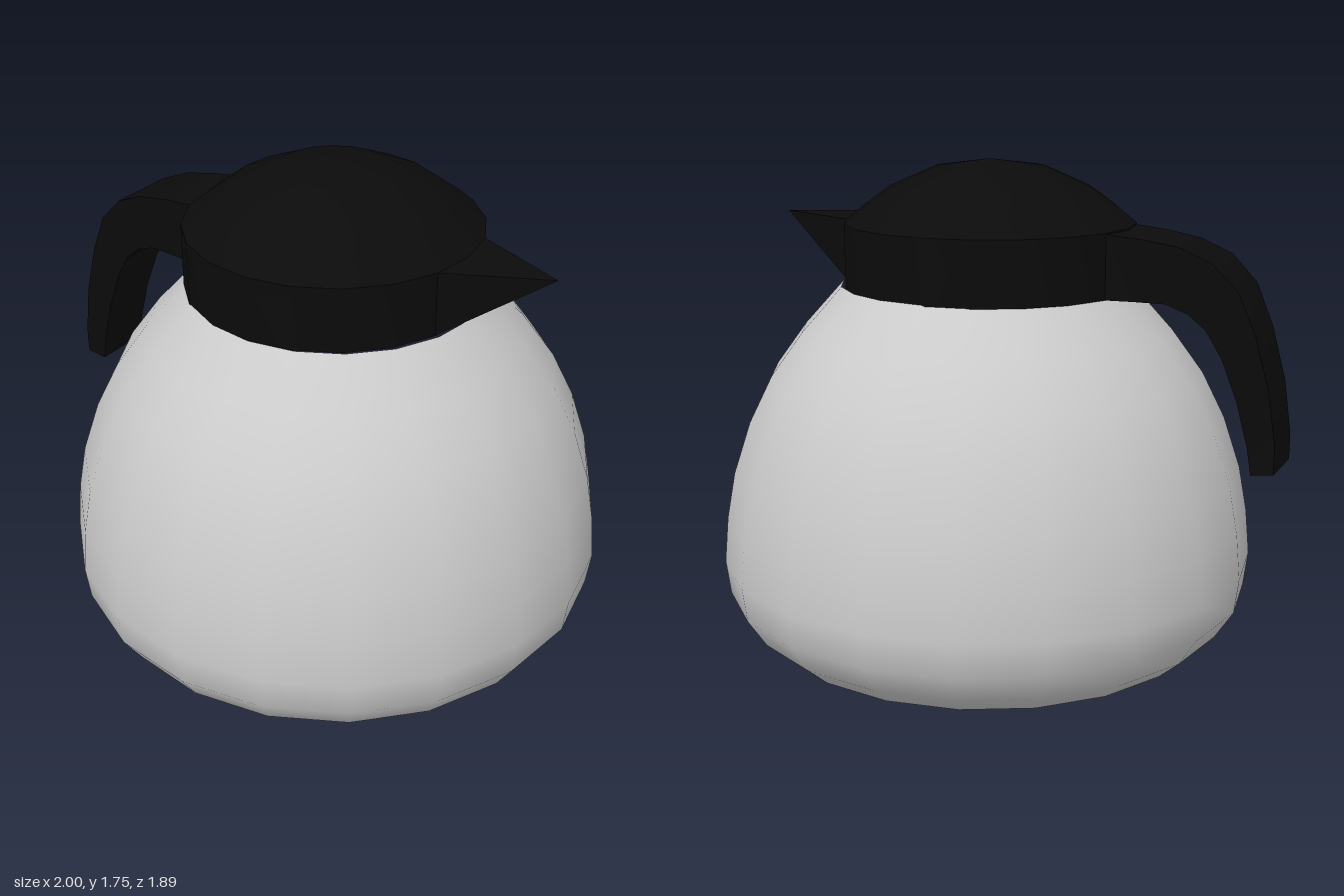
import * as THREE from 'three';
import { toCreasedNormals } from 'three/addons/utils/BufferGeometryUtils.js';
import { ConvexGeometry } from 'three/addons/geometries/ConvexGeometry.js';

const SIDES = 20;
const black = new THREE.MeshStandardMaterial({ color: 0x0b0b0b });
const grey = new THREE.MeshStandardMaterial({ color: 0xcccccc });

function part(name, geometry, material) {
  const mesh = new THREE.Mesh(geometry, material);
  mesh.name = name;
  return mesh;
}

const lathe = (profile) =>
  new THREE.LatheGeometry(profile.map(([r, y]) => new THREE.Vector2(r, y)), SIDES);

// Four-sided bar running towards -x; each section is [outerU, outerY, innerU, innerY, halfWidth]
function barGeometry(sections) {
  const positions = [];
  const index = [];
  for (const [ou, oy, iu, iy, w] of sections) {
    positions.push(-ou, oy, -w, -ou, oy, w, -iu, iy, w, -iu, iy, -w);
  }
  for (let s = 0; s < sections.length - 1; s++) {
    for (let k = 0; k < 4; k++) {
      const a = s * 4 + k;
      const b = s * 4 + ((k + 1) % 4);
      index.push(a, a + 4, b, b, a + 4, b + 4);
    }
  }
  const e = (sections.length - 1) * 4;
  index.push(e, e + 2, e + 1, e, e + 3, e + 2);
  const geometry = new THREE.BufferGeometry();
  geometry.setAttribute('position', new THREE.Float32BufferAttribute(positions, 3));
  geometry.setIndex(index);
  return toCreasedNormals(geometry, 0.6);
}

export function createModel() {
  const model = new THREE.Group();
  model.name = 'coffeePot';

  // Spout and handle lie on one line, turned slightly about the vertical axis
  const pot = new THREE.Group();
  pot.name = 'pot';
  pot.position.x = 0.04;
  pot.rotation.y = 0.297;
  model.add(pot);

  // Rounded jug
  const jug = part('jug', lathe([
    [0, 0], [0.5, 0], [0.785, 0.07], [0.865, 0.14], [0.93, 0.24], [0.945, 0.36],
    [0.93, 0.52], [0.9, 0.68], [0.84, 0.86], [0.76, 1.02], [0.65, 1.17], [0.51, 1.325],
  ]), grey);
  jug.position.set(0.015, 0, 0.004);
  pot.add(jug);

  // Collar with domed lid
  const lid = lathe([
    [0, 1.32], [0.507, 1.32], [0.507, 1.54], [0.44, 1.595], [0.35, 1.66], [0.19, 1.73], [0, 1.755],
  ]);
  pot.add(part('lid', toCreasedNormals(lid, 0.5), black));

  // Pointed spout
  const spoutPoints = [new THREE.Vector3(0.816, 1.54, 0), new THREE.Vector3(0.505, 1.32, 0)];
  for (const y of [1.32, 1.54]) {
    for (const side of [-1, 1]) spoutPoints.push(new THREE.Vector3(0.48, y, side * 0.156));
  }
  pot.add(part('spout', new ConvexGeometry(spoutPoints), black));

  // Tapering handle, curving down
  pot.add(part('handle', barGeometry([
    [0.44, 1.54, 0.44, 1.32, 0.157],
    [0.6, 1.525, 0.58, 1.32, 0.143],
    [0.72, 1.505, 0.68, 1.318, 0.132],
    [0.83, 1.46, 0.755, 1.29, 0.124],
    [0.92, 1.37, 0.815, 1.24, 0.117],
    [0.98, 1.23, 0.87, 1.15, 0.112],
    [1.03, 1.05, 0.925, 1.01, 0.109],
    [1.056, 0.87, 0.965, 0.86, 0.107],
    [1.056, 0.78, 0.98, 0.77, 0.107],
  ]), black));

  return model;
}
